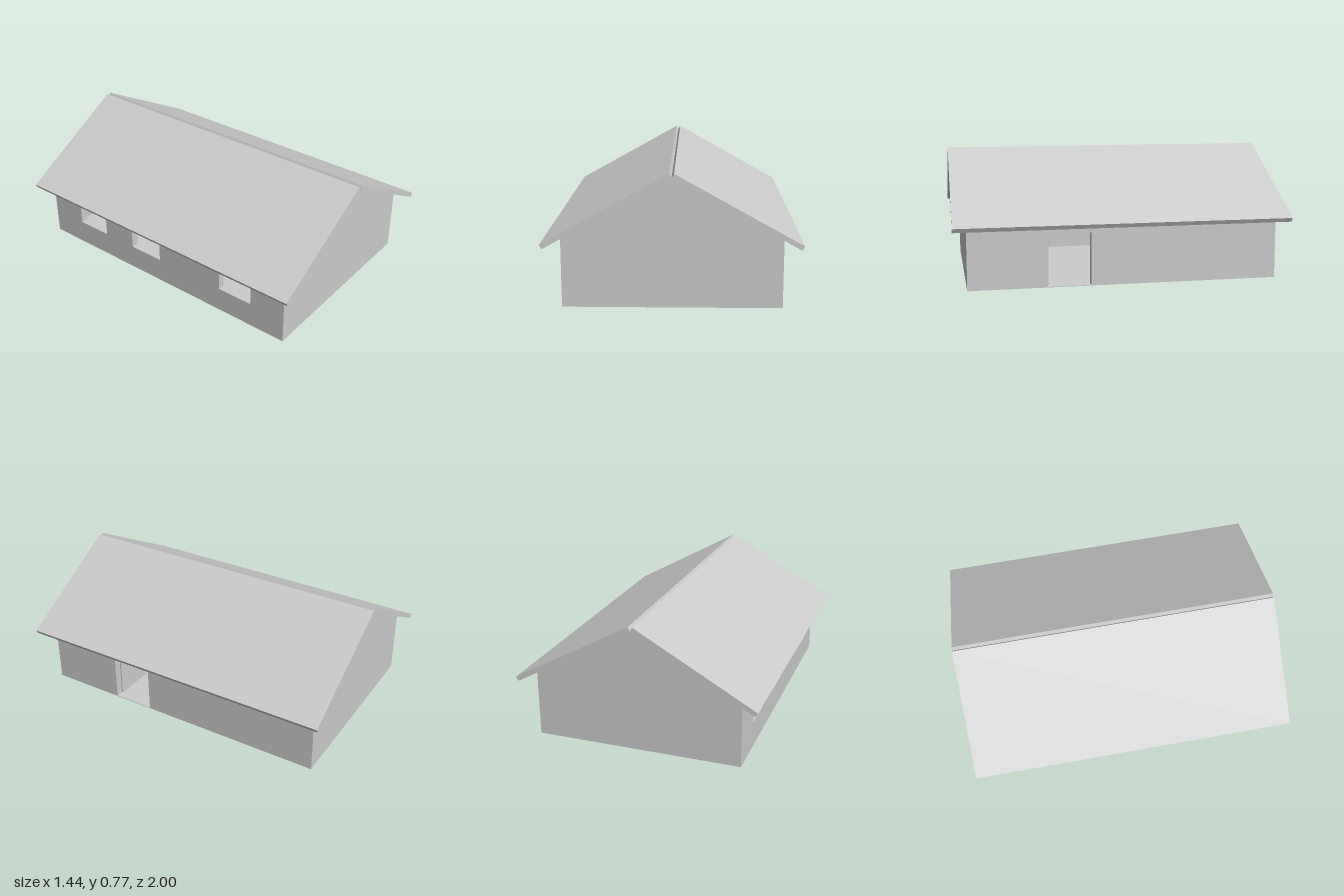
import * as THREE from 'three';

const LEFT = 0.615, RIGHT = -0.62, FRONT = 0.92, BACK = -0.935;
const WALL = 0.045, EAVE = 0.405, RIDGE = 0.75, RIDGE_X = -0.003, OPENING_TOP = 0.315;

const material = new THREE.MeshStandardMaterial({ color: 0xcccccc, flatShading: true, side: THREE.DoubleSide });

function polygon(points) {
  return new THREE.Shape(points.map(([x, y]) => new THREE.Vector2(x, y)));
}

function extrude(shape, depth) {
  return new THREE.ExtrudeGeometry(shape, { depth, bevelEnabled: false });
}

export function createModel() {
  const house = new THREE.Group();
  house.name = 'house';
  const add = (name, geometry, x = 0, y = 0, z = 0) => {
    const mesh = new THREE.Mesh(geometry, material);
    mesh.name = name;
    mesh.position.set(x, y, z);
    house.add(mesh);
    return mesh;
  };

  // Floor
  const floorThickness = 0.004;
  add('floor', new THREE.BoxGeometry(LEFT - RIGHT, floorThickness, FRONT - BACK),
    (LEFT + RIGHT) / 2, floorThickness / 2, (FRONT + BACK) / 2);

  // Gable walls
  const gable = extrude(polygon([[RIGHT, 0], [LEFT, 0], [LEFT, EAVE], [RIDGE_X, RIDGE], [RIGHT, EAVE]]), WALL);
  add('frontGableWall', gable, 0, 0, FRONT - WALL);
  add('backGableWall', gable, 0, 0, BACK);

  // Side walls are drawn in (z, y) and extruded towards -x
  const z0 = BACK + WALL, z1 = FRONT - WALL;
  const doorBack = 0.2, doorFront = 0.455;
  const doorWall = polygon([
    [z0, 0], [doorBack, 0], [doorBack, OPENING_TOP], [doorFront, OPENING_TOP],
    [doorFront, 0], [z1, 0], [z1, EAVE], [z0, EAVE],
  ]);
  add('doorWall', extrude(doorWall, WALL).rotateY(-Math.PI / 2), LEFT);

  const windowWall = polygon([[z0, 0], [z1, 0], [z1, EAVE], [z0, EAVE]]);
  const sill = 0.155, windowWidth = 0.23;
  for (const z of [-0.697, -0.24, 0.457]) {
    windowWall.holes.push(polygon([
      [z, sill], [z, OPENING_TOP], [z + windowWidth, OPENING_TOP], [z + windowWidth, sill],
    ]));
  }
  add('windowWall', extrude(windowWall, WALL).rotateY(-Math.PI / 2), RIGHT + WALL);

  // Door leaf, swung open into the house
  const leafWidth = doorFront - doorBack;
  const leaf = new THREE.BoxGeometry(leafWidth, OPENING_TOP, 0.008).translate(-leafWidth / 2, OPENING_TOP / 2, 0);
  add('doorLeaf', leaf, LEFT - WALL, 0, doorFront - 0.005).rotation.y = -0.02;

  // Two roof slabs with square-cut ends that leave a small notch at the ridge
  const pitch = Math.atan2(0.395, 0.707), slabLength = 0.81, slabThickness = 0.028;
  for (const side of [1, -1]) {
    const slab = new THREE.BoxGeometry(slabLength, slabThickness, 2)
      .translate(side * slabLength / 2, slabThickness / 2, 0)
      .rotateZ(-side * pitch);
    add(side > 0 ? 'leftRoofSlab' : 'rightRoofSlab', slab, RIDGE_X, RIDGE, 0);
  }
  return house;
}
